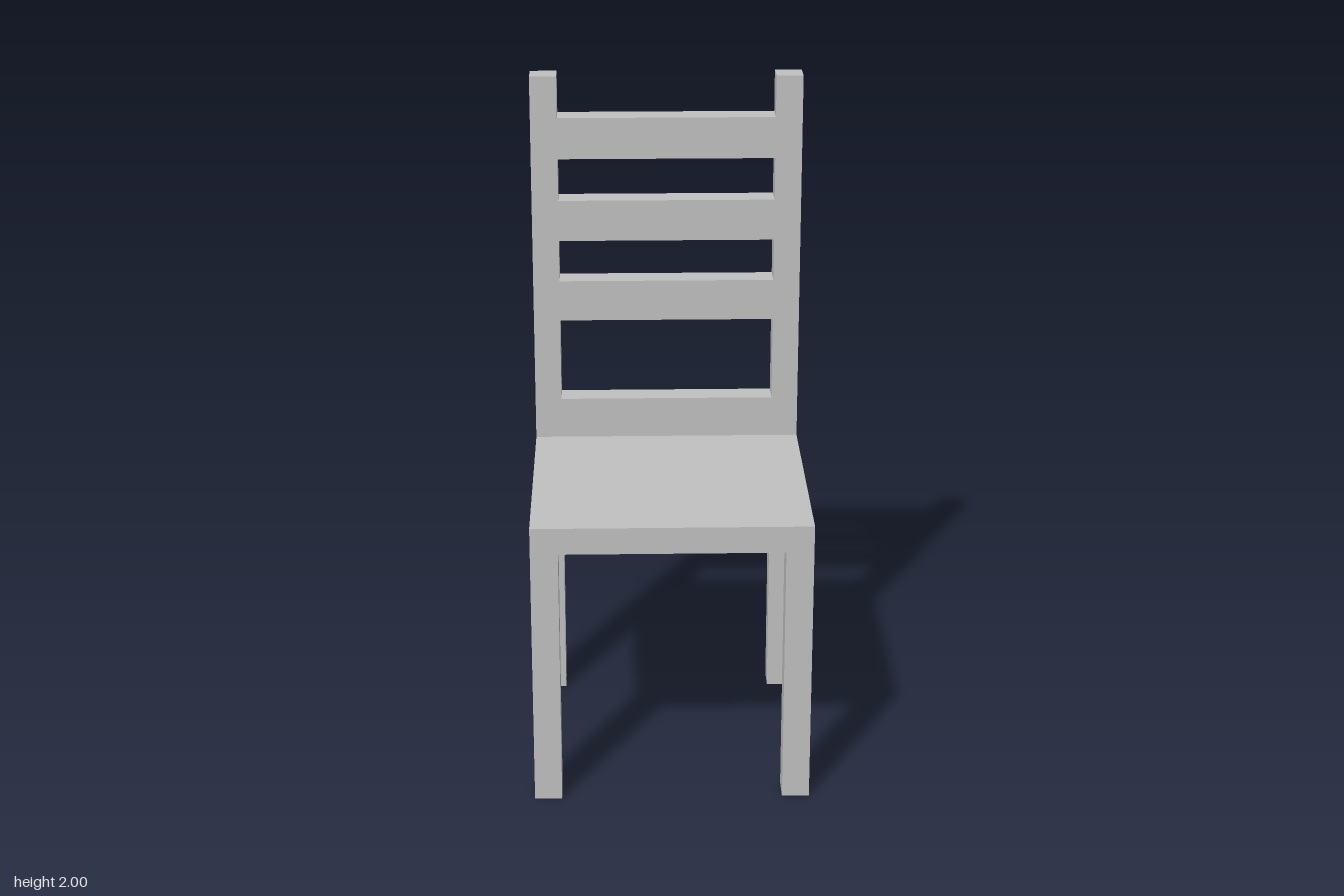
import * as THREE from 'three';

export function createModel() {
  const group = new THREE.Group();
  group.name = 'chair';
  const grey = new THREE.MeshStandardMaterial({ color: 0xc0c0c0 });
  grey.name = 'grey';

  const half = 0.405;            // half the seat width and depth
  const post = 0.08;             // thickness of legs, posts and slats
  const seatBottom = 0.785, seatTop = 0.865, height = 2;
  const inset = half - post / 2; // centre line of legs and posts

  // Box standing between two heights
  function addBox(name, width, depth, bottom, top, x, z) {
    const mesh = new THREE.Mesh(new THREE.BoxGeometry(width, top - bottom, depth), grey);
    mesh.name = name;
    mesh.position.set(x, (bottom + top) / 2, z);
    group.add(mesh);
  }

  addBox('seat', half * 2, half * 2, seatBottom, seatTop, 0, 0);

  // Legs and back posts, mirrored left and right
  for (const [side, sign] of [['left', 1], ['right', -1]]) {
    addBox(side + 'FrontLeg', post, post, 0, seatBottom, sign * inset, inset);
    addBox(side + 'BackLeg', post, post, 0, seatBottom, sign * inset, -inset);
    addBox(side + 'BackPost', post, post, seatTop, height, sign * inset, -inset);
  }

  // Slats between the posts, flush front and back
  const slatWidth = 2 * (half - post);
  const slats = [
    ['lowerRail', seatTop, 0.99],
    ['lowerSlat', 1.245, 1.37],
    ['middleSlat', 1.497, 1.622],
    ['topSlat', 1.75, 1.875],
  ];
  for (const [name, bottom, top] of slats) addBox(name, slatWidth, post, bottom, top, 0, -inset);

  return group;
}
